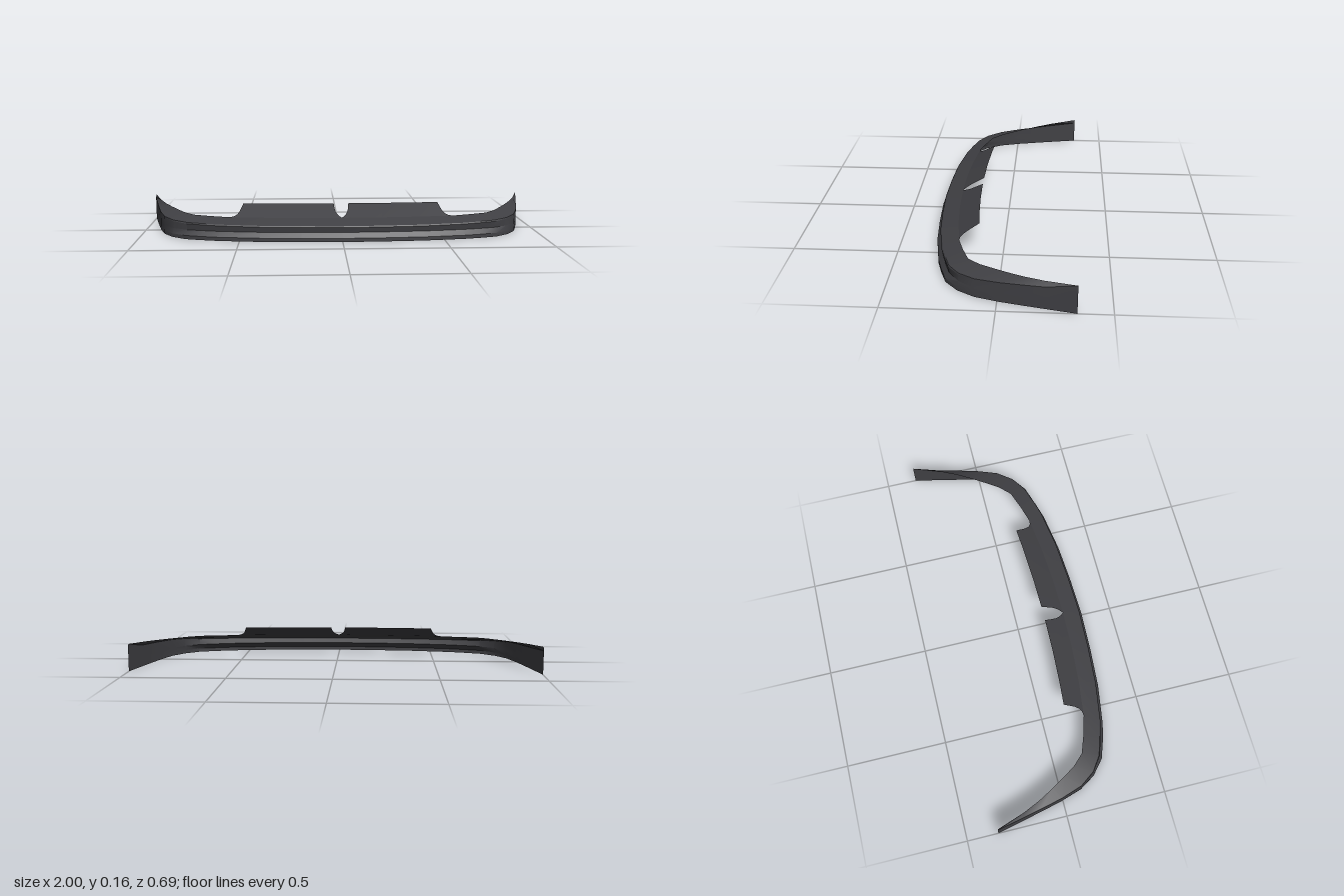
import * as THREE from 'three';
import { toCreasedNormals } from 'three/addons/utils/BufferGeometryUtils.js';

// Half outline from the centre to the tip: outer x, z, top edge x, z, crease depth
const HALF = [
  [0, 0.345, 0, 0.24, 1],
  [0.2, 0.338, 0.2, 0.235, 1],
  [0.4, 0.324, 0.38, 0.222, 1],
  [0.6, 0.293, 0.555, 0.2, 1],
  [0.69, 0.268, 0.65, 0.172, 1],
  [0.77, 0.24, 0.737, 0.14, 0.9],
  [0.84, 0.18, 0.79, 0.085, 0.45],
  [0.89, 0.1, 0.825, 0.03, 0.15],
  [0.924, -0.01, 0.868, -0.04, 0],
  [0.95, -0.12, 0.912, -0.12, 0],
  [0.97, -0.21, 0.95, -0.205, 0],
  [1, -0.345, 0.998, -0.345, 0],
];
const mirrored = HALF.slice(1).reverse().map(([x, z, tx, tz, s]) => [-x, z, -tx, tz, s]);
const STATIONS = [...mirrored, ...HALF];

const topY = (z) => 0.1 + 0.064 * Math.max(0, 0.2 - z);

// Skin between a list of cross-sections running from -x to +x, each bottom to top
function loft(sections) {
  const rows = sections[0].length;
  const index = [];
  for (let i = 0; i < sections.length - 1; i++) {
    for (let j = 0; j < rows - 1; j++) {
      const a = i * rows + j, b = a + rows;
      index.push(a, b, b + 1, a, b + 1, a + 1);
    }
  }
  const geo = new THREE.BufferGeometry();
  geo.setAttribute('position', new THREE.Float32BufferAttribute(sections.flat(2), 3));
  geo.setIndex(index);
  return toCreasedNormals(geo, 0.5);
}

// Stepped lip section that flattens into a plain wall toward the tips
function lipSection([x, z, tx, tz, s], i) {
  const p = STATIONS[Math.max(i - 1, 0)];
  const n = STATIONS[Math.min(i + 1, STATIONS.length - 1)];
  const dx = n[0] - p[0], dz = n[1] - p[1], len = Math.hypot(dx, dz);
  const at = (inset, y) => [x + (dz / len) * inset * s, y, z - (dx / len) * inset * s];
  const shoulderY = 0.095 - 0.06 * (z + 0.01);
  return [
    at(0, 0),
    at(0, 0.018),
    at(0.021, 0.043),
    at(0.016, shoulderY - 0.006),
    at(0.021, shoulderY),
    [tx, topY(tz), tz],
  ];
}

// Depth of the lip's top edge at a given x
function edgeZ(x) {
  const k = HALF.findIndex((s) => s[2] >= x);
  if (k <= 0) return HALF[0][3];
  const a = HALF[k - 1], b = HALF[k];
  return THREE.MathUtils.lerp(a[3], b[3], (x - a[2]) / (b[2] - a[2]));
}

// Flap columns: x and how far up the full height the column reaches
const FLAP = [
  [0, 0], [0.012, 0.12], [0.022, 0.25], [0.03, 0.45], [0.034, 0.7], [0.037, 1],
  [0.2, 1], [0.38, 1], [0.49, 1], [0.498, 0.7], [0.506, 0.42], [0.517, 0.2], [0.534, 0.06], [0.554, 0],
];

function flapSections(side) {
  const cols = FLAP.map(([x, t]) => {
    const z = edgeZ(x), y = topY(z);
    const backZ = 0.133 - 0.09 * x * x;
    return [
      [side * x, y, z],
      [side * x, THREE.MathUtils.lerp(y, 0.155, t), THREE.MathUtils.lerp(z, backZ, t)],
    ];
  });
  return side < 0 ? cols.reverse() : cols;
}

export function createModel() {
  const group = new THREE.Group();
  group.name = 'frontLipSpoiler';
  const material = new THREE.MeshStandardMaterial({ color: 0x404044, side: THREE.DoubleSide });
  const add = (name, geometry) => {
    const mesh = new THREE.Mesh(geometry, material);
    mesh.name = name;
    group.add(mesh);
  };

  // Wraparound lip
  add('lip', loft(STATIONS.map(lipSection)));

  // Two sloping flaps with a notch between them
  add('rightFlap', loft(flapSections(-1)));
  add('leftFlap', loft(flapSections(1)));

  return group;
}
